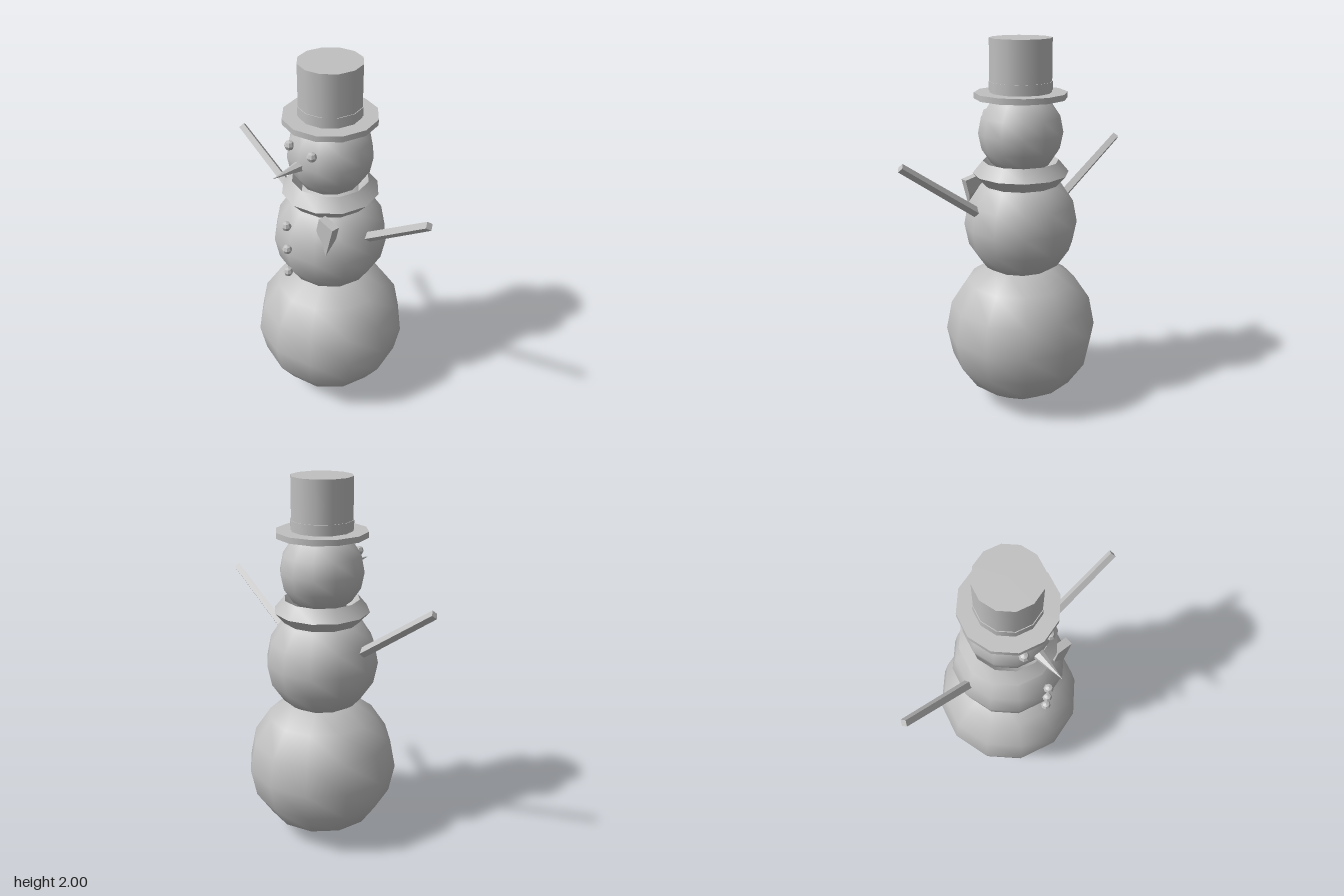
import * as THREE from 'three';
import { toCreasedNormals } from 'three/addons/utils/BufferGeometryUtils.js';

export function createModel() {
  const model = new THREE.Group();
  model.name = 'snowman';
  const grey = new THREE.MeshStandardMaterial({ color: 0xc0c0c0 });
  grey.name = 'grey';

  const add = (name, geometry, x = 0, y = 0, z = 0) => {
    const mesh = new THREE.Mesh(geometry, grey);
    mesh.name = name;
    mesh.position.set(x, y, z);
    model.add(mesh);
    return mesh;
  };

  // Snowballs
  const balls = [['lowerBody', 0.416, 0.416], ['upperBody', 0.304, 1.03], ['head', 0.222, 1.52]];
  for (const [name, r, y] of balls) add(name, new THREE.SphereGeometry(r, 12, 8), 0, y);

  // Top hat: brim, crown and band
  const disc = (name, r, y0, y1) =>
    add(name, new THREE.CylinderGeometry(r, r, y1 - y0, 12), 0, (y0 + y1) / 2);
  disc('hatBrim', 0.24, 1.7, 1.73);
  disc('hatCrown', 0.16, 1.72, 2);
  disc('hatBand', 0.164, 1.74, 1.785);

  // Scarf ring with a diamond cross-section
  const ring = [[0.15, 1.31], [0.2, 1.25], [0.254, 1.31], [0.2, 1.375], [0.15, 1.31]];
  const ringGeometry = new THREE.LatheGeometry(ring.map(([r, y]) => new THREE.Vector2(r, y)), 12);
  add('scarf', toCreasedNormals(ringGeometry, 0.7));

  // Scarf tail: a tilted box with its lower front corner pulled to a point
  let tail = new THREE.BoxGeometry(0.098, 0.082, 0.046);
  const p = tail.attributes.position;
  for (let i = 0; i < p.count; i++) {
    if (p.getX(i) > 0 && p.getY(i) < 0 && p.getZ(i) > 0) p.setXY(i, 0.046, -0.142);
  }
  tail = tail.toNonIndexed();
  tail.computeVertexNormals();
  tail.rotateZ(-0.24);
  add('scarfTail', tail, 0.18, 1.23, 0.194);

  // Nose
  const nose = new THREE.ConeGeometry(0.035, 0.2, 6);
  nose.rotateX(Math.PI / 2);
  add('nose', toCreasedNormals(nose, 0.5), 0, 1.52, 0.28);

  // Eyes and buttons
  const bead = toCreasedNormals(new THREE.SphereGeometry(0.026, 8, 4), 0.5);
  add('rightEye', bead, -0.08, 1.6, 0.2);
  add('leftEye', bead, 0.08, 1.6, 0.2);
  for (const y of [1.213, 1.068, 0.923]) add('button', bead, 0, y, 0.307);

  // Stick arms, square in section and thinner at the tip
  for (const side of [1, -1]) {
    const start = new THREE.Vector3(side * 0.24, 1.11, -0.002);
    const end = new THREE.Vector3(side * 0.675, 1.42, 0.03);
    const dir = end.clone().sub(start);
    const geometry = new THREE.CylinderGeometry(0.023, 0.027, dir.length(), 4);
    const arm = add(side > 0 ? 'leftArm' : 'rightArm', toCreasedNormals(geometry, 0.5));
    arm.position.copy(start).add(end).multiplyScalar(0.5);
    arm.quaternion.setFromUnitVectors(new THREE.Vector3(0, 1, 0), dir.normalize());
  }

  return model;
}
